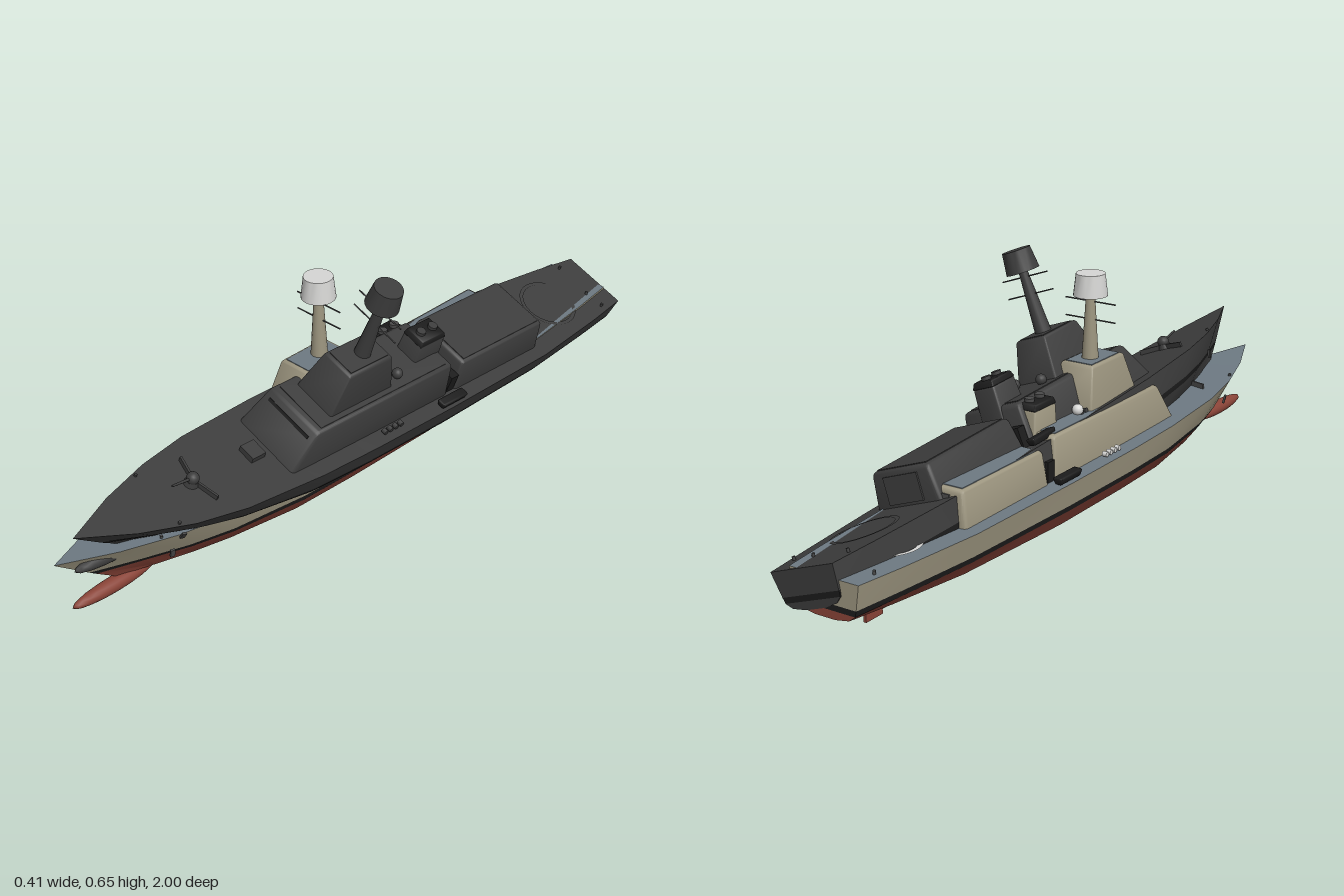
import * as THREE from 'three';
import { toCreasedNormals } from 'three/addons/utils/BufferGeometryUtils.js';
import { RoundedBoxGeometry } from 'three/addons/geometries/RoundedBoxGeometry.js';

function mat(name, color, side = THREE.FrontSide) {
  const m = new THREE.MeshStandardMaterial({ color, side });
  m.name = name;
  return m;
}

// Hull stations: s, deckY, stripeY, bilgeY, keelY, then half widths deck, stripe, bilge, keel
const STATIONS = [
  [-0.99, 0.145, 0.066, 0.052, 0.045, 0.100, 0.088, 0.070, 0.030],
  [-0.85, 0.144, 0.066, 0.043, 0.030, 0.118, 0.103, 0.082, 0.036],
  [-0.60, 0.143, 0.066, 0.030, 0.012, 0.142, 0.125, 0.100, 0.045],
  [-0.20, 0.145, 0.066, 0.022, 0.000, 0.150, 0.137, 0.110, 0.050],
  [0.10, 0.147, 0.066, 0.022, 0.000, 0.151, 0.137, 0.107, 0.049],
  [0.30, 0.150, 0.067, 0.022, 0.000, 0.148, 0.131, 0.099, 0.044],
  [0.55, 0.157, 0.073, 0.026, 0.003, 0.132, 0.104, 0.070, 0.029],
  [0.70, 0.163, 0.077, 0.030, 0.007, 0.106, 0.076, 0.049, 0.018],
  [0.85, 0.172, 0.083, 0.037, 0.014, 0.062, 0.039, 0.025, 0.008],
  [1.00, 0.182, 0.088, 0.045, 0.030, 0, 0, 0, 0],
];
const BOW = [0.74, 0.82, 0.88, 0.90, 1.0]; // raked stem, keel to deck
const STRIPE = 0.015;

// Hull point at station i, level j (0 keel, 1 bilge, 2-3 stripe, 4 deck)
function hullPoint(i, j, side) {
  const [s, dy, sy, by, ky, dw, sw, bw, kw] = STATIONS[i];
  const z = s < 0.4 ? s : 0.4 + (s - 0.4) * (BOW[j] - 0.4) / 0.6;
  const y = [ky, by, sy, sy + STRIPE, dy][j];
  const w = [kw, bw, sw, sw + (dw - sw) * 0.25, dw][j];
  return [w * side, y, z];
}

function quadGeometry(quads) {
  const g = new THREE.BufferGeometry();
  const pos = quads.flatMap(([a, b, c, d]) => [a, b, c, a, c, d]).flat();
  g.setAttribute('position', new THREE.Float32BufferAttribute(pos, 3));
  return toCreasedNormals(g, 0.5);
}

// Plating between two levels, both sides and transom
function hullBand(j0, j1) {
  const quads = [], P = hullPoint;
  for (let j = j0; j < j1; j++) {
    for (let i = 0; i < STATIONS.length - 1; i++) {
      quads.push([P(i, j, 1), P(i, j + 1, 1), P(i + 1, j + 1, 1), P(i + 1, j, 1)]);
      quads.push([P(i, j, -1), P(i + 1, j, -1), P(i + 1, j + 1, -1), P(i, j + 1, -1)]);
    }
    quads.push([P(0, j, -1), P(0, j + 1, -1), P(0, j + 1, 1), P(0, j, 1)]);
  }
  return quads;
}

// Flat strip across the hull: keel bottom or deck
function hullSpan(j, up) {
  const quads = [], P = hullPoint;
  for (let i = 0; i < STATIONS.length - 1; i++) {
    const q = [P(i, j, -1), P(i, j, 1), P(i + 1, j, 1), P(i + 1, j, -1)];
    quads.push(up ? q.reverse() : q);
  }
  return quads;
}

// Rounded block tapering from base (half width, z back, z front, y) to top
function taperBlock([w0, b0, f0, y0], [w1, b1, f1, y1], r = 0.012) {
  const g = new RoundedBoxGeometry(2 * w0, y1 - y0, f0 - b0, 2, r);
  const p = g.attributes.position;
  for (let i = 0; i < p.count; i++) {
    const t = p.getY(i) / (y1 - y0) + 0.5, u = p.getZ(i) / (f0 - b0) + 0.5;
    const back = b0 + (b1 - b0) * t, front = f0 + (f1 - f0) * t;
    p.setXYZ(i, p.getX(i) * (1 + (w1 / w0 - 1) * t), y0 + (y1 - y0) * t, back + (front - back) * u);
  }
  return toCreasedNormals(g, 0.6);
}

function buildShip(name, c) {
  const ship = new THREE.Group();
  ship.name = name;
  const add = (part, geo, material, x = 0, y = 0, z = 0, rx = 0, ry = 0, rz = 0) => {
    const m = new THREE.Mesh(geo, material);
    m.name = part;
    m.position.set(x, y, z);
    m.rotation.set(rx, ry, rz);
    ship.add(m);
    return m;
  };
  const box = (w, h, d) => new THREE.BoxGeometry(w, h, d);
  const cyl = (rt, rb, h, n = 16) => new THREE.CylinderGeometry(rt, rb, h, n);

  // Hull
  add('lowerHull', quadGeometry([...hullBand(0, 2), ...hullSpan(0, false)]), c.bottom);
  add('waterlineStripe', quadGeometry(hullBand(2, 3)), c.black);
  add('upperHull', quadGeometry(hullBand(3, 4)), c.hull);
  add('deck', quadGeometry(hullSpan(4, true)), c.deck);
  add('bowBulb', new THREE.SphereGeometry(1, 16, 12), c.bottom, 0, 0.028, 0.83).scale.set(0.021, 0.02, 0.13);

  // Superstructure with roof plates
  add('deckhouse', taperBlock([0.107, -0.215, 0.39, 0.13], [0.092, -0.2, 0.31, 0.255]), c.hull);
  add('deckhouseRoof', box(0.16, 0.004, 0.47), c.deck, 0, 0.255, 0.055);
  add('bridgeWindows', box(0.15, 0.008, 0.006), c.black, 0, 0.233, 0.324, -0.57);
  add('tower', taperBlock([0.068, 0.01, 0.25, 0.24], [0.049, 0.045, 0.2, 0.368], 0.008), c.hull);
  add('towerRoof', box(0.08, 0.004, 0.135), c.deck, 0, 0.368, 0.122);
  add('hangar', taperBlock([0.108, -0.6, -0.24, 0.12], [0.092, -0.59, -0.25, 0.235]), c.hull);
  add('hangarRoof', box(0.162, 0.004, 0.315), c.deck, 0, 0.235, -0.42);
  add('hangarDoor', box(0.11, 0.07, 0.006), c.grey, 0, 0.185, -0.596, 0.087);

  // Funnel
  add('funnel', taperBlock([0.04, -0.215, -0.095, 0.14], [0.034, -0.2, -0.105, 0.312], 0.008), c.hull);
  add('funnelCap', taperBlock([0.035, -0.202, -0.103, 0.308], [0.031, -0.195, -0.11, 0.326], 0.004), c.black);
  for (const z of [-0.175, -0.13]) add('exhaust', cyl(0.013, 0.013, 0.016), c.grey, 0, 0.327, z);

  // Mast, yards and radar dome
  add('mast', cyl(0.012, 0.023, 0.18), c.hull, 0, 0.455, 0.11);
  for (const y of [0.475, 0.524]) add('yard', cyl(0.002, 0.002, 0.154, 6), c.grey, 0, y, 0.11, 0, 0, Math.PI / 2);
  add('radarDome', toCreasedNormals(cyl(0.039, 0.046, 0.06, 24).toNonIndexed(), 0.6), c.white, 0, 0.57, 0.11);

  // Gun, breakwater and launcher on the foredeck
  add('gunBase', cyl(0.016, 0.02, 0.014), c.grey, 0, 0.167, 0.63);
  add('gunTurret', new THREE.SphereGeometry(0.017, 16, 10), c.grey, 0, 0.18, 0.63);
  add('gunBarrel', cyl(0.003, 0.004, 0.06, 8), c.grey, 0, 0.187, 0.67, Math.PI / 2 - 0.15);
  for (const s of [-1, 1]) add('breakwater', box(0.075, 0.014, 0.006), c.grey, s * 0.036, 0.166, 0.615, 0, s * 0.25);
  add('launcher', box(0.05, 0.016, 0.045), c.grey, 0, 0.163, 0.425);

  // Paired fittings
  for (const s of [-1, 1]) {
    add('satelliteDome', new THREE.SphereGeometry(0.015, 16, 12), c.white, s * 0.045, 0.268, -0.02);
    add('boat', taperBlock([0.01, -0.245, -0.155, 0.148], [0.015, -0.25, -0.15, 0.168], 0.005), c.black, s * 0.132);
    add('boatBay', box(0.05, 0.06, 0.028), c.black, s * 0.075, 0.17, -0.227);
    for (let i = 0; i < 4; i++)
      add('lifeRaft', cyl(0.007, 0.007, 0.013, 10), c.white, s * 0.122, 0.156, -0.005 + i * 0.02, 0, 0, Math.PI / 2);
    add('anchor', box(0.006, 0.024, 0.012), c.grey, s * 0.086, 0.102, 0.71, 0, s * -0.3, s * -0.25);
    for (const [x, z] of [[0.085, 0.74], [0.088, -0.92]])
      add('bollard', cyl(0.004, 0.004, 0.012, 8), c.grey, s * x, 0.148 + (z > 0 ? 0.018 : 0), z);
    add('rudder', box(0.008, 0.04, 0.06), c.bottom, s * 0.04, 0.026, -0.87);
    add('propellerShaft', cyl(0.004, 0.004, 0.2, 8), c.bottom, s * 0.04, 0.02, -0.74, Math.PI / 2);
  }

  // Landing circle
  add('landingCircle', new THREE.RingGeometry(0.076, 0.087, 40), c.white, 0, 0.147, -0.765, -Math.PI / 2);
  return ship;
}

export function createModel() {
  const model = new THREE.Group();
  model.name = 'shipPair';
  const black = mat('black', 0x1c1c1c), charcoal = mat('charcoal', 0x3d3d3d);

  // Upright painted ship
  const painted = buildShip('paintedShip', {
    hull: mat('sandGrey', 0x9c957f), deck: mat('deckBlueGrey', 0x6d7982), bottom: mat('antifoulingRed', 0x8a4438),
    white: mat('white', 0xd6d6d4), grey: mat('fittingGrey', 0x4a4a4a), black,
  });
  painted.position.x = -0.06;

  // Rolled and pitched dark ship
  const dark = buildShip('darkShip', {
    hull: charcoal, deck: charcoal, bottom: charcoal, white: charcoal, grey: charcoal, black,
  });
  dark.position.set(-0.05, 0.07, 0);
  dark.rotation.set(-0.055, 0, -0.35);

  model.add(painted, dark);
  return model;
}
